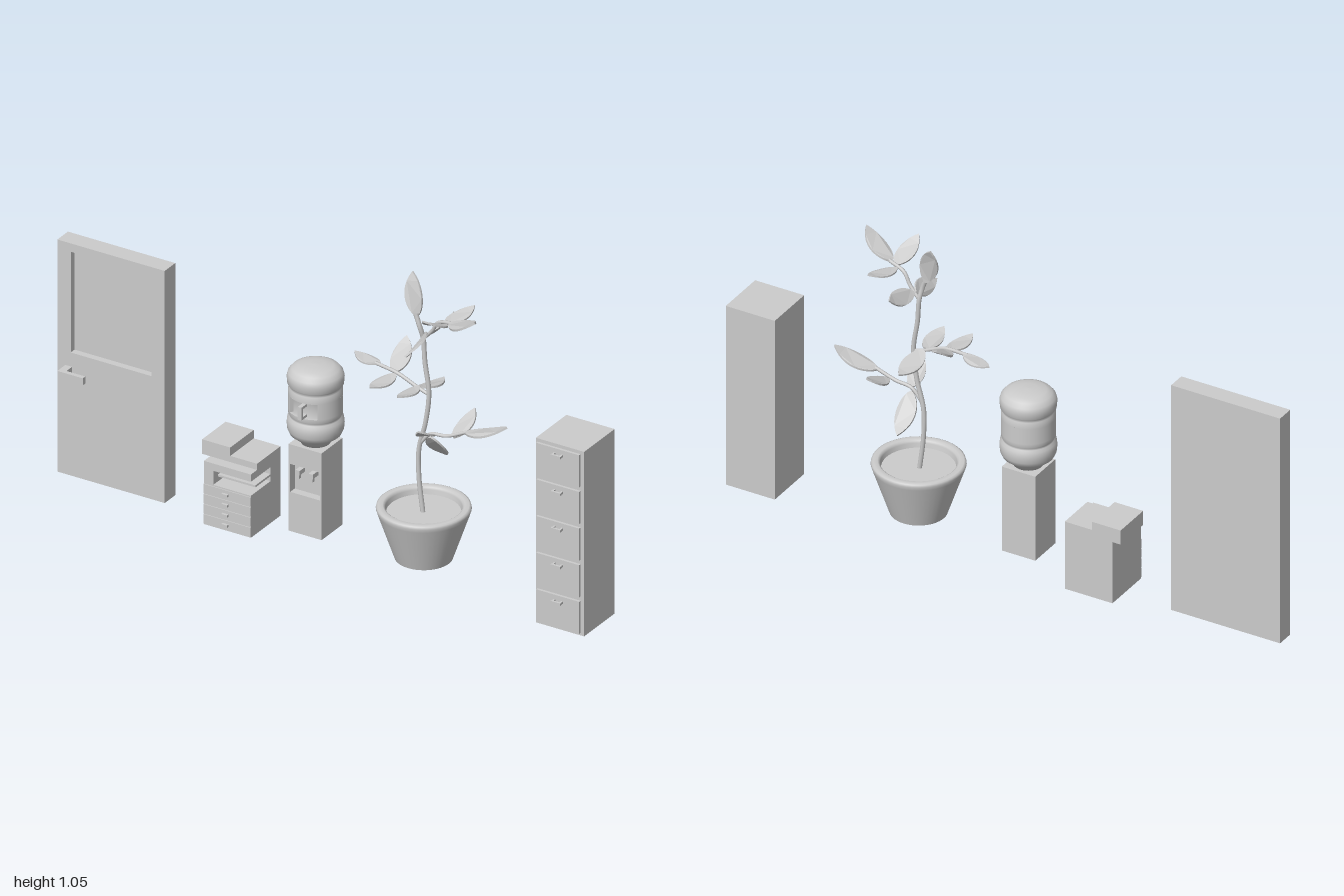
import * as THREE from 'three';

const grey = new THREE.MeshStandardMaterial({ color: 0xcccccc });
const greyDouble = new THREE.MeshStandardMaterial({ color: 0xcccccc, side: THREE.DoubleSide });
const V = (x, y, z) => new THREE.Vector3(x, y, z);

function add(parent, name, geometry, material = grey) {
  const mesh = new THREE.Mesh(geometry, material);
  mesh.name = name;
  parent.add(mesh);
  return mesh;
}

function group(parent, name) {
  const g = new THREE.Group();
  g.name = name;
  parent.add(g);
  return g;
}

// Box given by its limits
function box(parent, name, x0, x1, y0, y1, z0, z1) {
  const m = add(parent, name, new THREE.BoxGeometry(x1 - x0, y1 - y0, z1 - z0));
  m.position.set((x0 + x1) / 2, (y0 + y1) / 2, (z0 + z1) / 2);
  return m;
}

function rect(path, x0, x1, y0, y1) {
  path.moveTo(x0, y0);
  path.lineTo(x1, y0);
  path.lineTo(x1, y1);
  path.lineTo(x0, y1);
  path.closePath();
  return path;
}

// Block whose front has a rectangular recess down to depth zr
function recessedBlock(parent, name, [x0, x1, y0, y1, z0, z1], hole, zr) {
  const shape = rect(new THREE.Shape(), x0, x1, y0, y1);
  shape.holes.push(rect(new THREE.Path(), ...hole));
  const frame = new THREE.ExtrudeGeometry(shape, { depth: z1 - zr, bevelEnabled: false });
  add(parent, name + 'Frame', frame.translate(0, 0, zr));
  box(parent, name + 'Back', x0, x1, y0, y1, z0, zr);
}

function lathe(parent, name, points, start = 0, sweep = Math.PI * 2) {
  const pts = points.map(p => new THREE.Vector2(...p));
  return add(parent, name, new THREE.LatheGeometry(pts, 48, start, sweep), greyDouble);
}

function tube(parent, name, points, radius) {
  const curve = new THREE.CatmullRomCurve3(points.map(p => V(...p)));
  add(parent, name, new THREE.TubeGeometry(curve, points.length * 6, radius, 8));
}

function buildDoor(root) {
  const g = group(root, 'door');
  recessedBlock(g, 'door', [-1, -0.6, 0, 0.83, -0.03, 0.033], [-0.95, -0.65, 0.44, 0.8], 0.01);
  box(g, 'handlePost', -0.97, -0.945, 0.365, 0.39, 0.03, 0.066);
  box(g, 'handleLever', -0.97, -0.875, 0.365, 0.39, 0.066, 0.081);
}

function buildCopier(root) {
  const g = group(root, 'copier');
  const [l, r, zb, zf] = [-0.42, -0.245, -0.09, 0.087];
  box(g, 'drawerBase', l, r, 0, 0.15, zb, zf);
  box(g, 'outputBack', l, r, 0.15, 0.2, zb, -0.03);
  box(g, 'outputSide', l, -0.385, 0.15, 0.2, -0.03, zf);
  box(g, 'outputTray', -0.385, r, 0.168, 0.175, -0.03, 0.06);
  box(g, 'scanner', l, r, 0.2, 0.226, zb, zf);
  box(g, 'lid', -0.45, r, 0.226, 0.248, zb, 0.05);
  box(g, 'paperFeeder', -0.45, -0.345, 0.248, 0.278, zb, 0.05);
  for (let i = 0; i < 4; i++) {
    const y = 0.004 + i * 0.036;
    box(g, 'copierDrawer', l, r, y, y + 0.033, zf, zf + 0.003);
    box(g, 'copierDrawerHandle', -0.348, -0.326, y + 0.014, y + 0.022, zf, 0.099);
  }
}

function buildCooler(root) {
  const g = group(root, 'waterCooler');
  const cx = -0.058;
  recessedBlock(g, 'column', [-0.12, 0.003, 0.05, 0.36, -0.062, 0.062], [-0.114, -0.003, 0.19, 0.29], 0.035);
  for (const x of [-0.083, -0.034]) {
    box(g, 'tapBody', x - 0.008, x + 0.008, 0.262, 0.278, 0.035, 0.068);
    box(g, 'tapSpout', x - 0.005, x + 0.005, 0.248, 0.264, 0.054, 0.066);
  }

  // Bottle with two ribs, and a shallow grip recess at the front
  const b = group(g, 'bottle');
  b.position.x = cx;
  const [lo, hi, r, rIn] = [0.48, 0.535, 0.087, 0.075];
  lathe(b, 'bottleBottom', [[0, 0.36], [0.048, 0.36], [0.05, 0.372], [0.068, 0.382], [0.083, 0.394], [0.09, 0.41],
    [0.092, 0.43], [0.09, 0.448], [0.083, 0.455], [0.083, 0.462], [r, 0.467], [r, lo]]);
  lathe(b, 'bottleTop', [[r, hi], [r, 0.552], [0.083, 0.557], [0.083, 0.566], [0.09, 0.572], [0.092, 0.595],
    [0.088, 0.61], [0.076, 0.624], [0.058, 0.632], [0.03, 0.636], [0, 0.637]]);
  const half = 0.63;
  lathe(b, 'bottleMiddle', [[r, lo], [r, hi]], half, Math.PI * 2 - half * 2);
  lathe(b, 'gripRecess', [[r, lo], [rIn, lo], [rIn, hi], [r, hi]], -half, half * 2);
  for (const a of [-half, half]) {
    const wall = add(b, 'gripRecessWall', new THREE.PlaneGeometry(r - rIn, hi - lo), greyDouble);
    const m = (r + rIn) / 2;
    wall.position.set(Math.sin(a) * m, (lo + hi) / 2, Math.cos(a) * m);
    wall.rotation.y = a - Math.PI / 2;
  }
  box(b, 'gripBar', 0, 0.014, 0.484, 0.53, 0.097, 0.107);
  for (const y of [0.484, 0.521]) box(b, 'gripEnd', 0, 0.014, y, y + 0.009, 0.07, 0.098);
}

// Thin pointed leaf of unit length along +y, slightly arched
function leafGeometry() {
  const s = new THREE.Shape();
  s.moveTo(0, 0);
  s.bezierCurveTo(0.22, 0.12, 0.36, 0.62, 0, 1);
  s.bezierCurveTo(-0.36, 0.62, -0.22, 0.12, 0, 0);
  const geo = new THREE.ExtrudeGeometry(s, { depth: 0.045, bevelEnabled: false, curveSegments: 12 });
  const p = geo.attributes.position;
  for (let i = 0; i < p.count; i++) {
    p.setZ(i, p.getZ(i) - 0.0225 + 0.06 * Math.sin(Math.PI * p.getY(i)));
  }
  geo.computeVertexNormals();
  return geo;
}

function buildPlant(root) {
  const g = group(root, 'pottedPlant');
  const cx = 0.345;
  const pot = lathe(g, 'pot', [[0, 0.06], [0.093, 0.06], [0.093, 0.06], [0.148, 0.222], [0.152, 0.235], [0.15, 0.243], [0.144, 0.246],
    [0.13, 0.246], [0.124, 0.242], [0.122, 0.235], [0.118, 0.215]]);
  pot.position.x = cx;
  const soil = add(g, 'soil', new THREE.CylinderGeometry(0.12, 0.12, 0.01, 48));
  soil.position.set(cx, 0.215, 0);

  tube(g, 'stem', [[0.342, 0.215, 0], [0.327, 0.34, 0], [0.327, 0.44, 0], [0.352, 0.545, 0], [0.364, 0.65, 0],
    [0.349, 0.76, 0], [0.343, 0.84, 0], [0.336, 0.88, 0.008], [0.32, 0.925, 0.008]], 0.008);
  tube(g, 'upperBranch', [[0.343, 0.84, 0], [0.38, 0.88, 0.005], [0.405, 0.918, 0.01], [0.465, 0.937, 0.02]], 0.006);
  tube(g, 'leftBranch', [[0.363, 0.645, 0], [0.32, 0.66, 0], [0.25, 0.688, 0], [0.16, 0.696, -0.01]], 0.006);
  tube(g, 'rightBranch', [[0.33, 0.46, 0], [0.37, 0.505, 0], [0.43, 0.515, 0], [0.5, 0.545, -0.008]], 0.006);

  // Each leaf: base, tip, direction of its width
  const leaves = [
    [[0.32, 0.91, 0], [0.285, 1.05, -0.03], [1, 0.2, 0]],
    [[0.445, 0.925, 0.02], [0.425, 0.985, 0.137], [1, 0.1, 0]],
    [[0.455, 0.935, 0.02], [0.585, 0.997, 0.08], [0, 0, -1]],
    [[0.43, 0.925, 0.01], [0.47, 0.945, -0.105], [-1, 0, 0]],
    [[0.355, 0.865, 0], [0.36, 0.84, 0.137], [0.65, 0.75, 0]],
    [[0.36, 0.86, 0], [0.38, 0.888, -0.125], [-0.65, -0.75, 0]],
    [[0.175, 0.697, -0.01], [0.062, 0.697, -0.04], [0, 0, 1]],
    [[0.235, 0.685, 0], [0.205, 0.755, -0.125], [-1, 0, 0]],
    [[0.24, 0.685, 0], [0.22, 0.685, 0.125], [1, 0, 0]],
    [[0.325, 0.66, 0], [0.335, 0.635, -0.14], [-1, -0.2, 0]],
    [[0.325, 0.665, 0], [0.325, 0.68, 0.125], [1, 0.2, 0]],
    [[0.49, 0.54, -0.01], [0.64, 0.592, -0.025], [0, 0, -1]],
    [[0.455, 0.515, 0], [0.462, 0.57, -0.12], [-1, -0.2, 0]],
    [[0.375, 0.505, 0], [0.39, 0.565, 0.105], [1, 0.3, 0]],
    [[0.37, 0.495, 0], [0.362, 0.385, -0.105], [-1, 0, 0]],
  ];
  const geo = leafGeometry();
  for (const [base, tip, width] of leaves) {
    const along = V(...tip).sub(V(...base));
    const length = along.length();
    along.normalize();
    const normal = V(...width).cross(along).normalize();
    const side = along.clone().cross(normal);
    const leaf = add(g, 'leaf', geo, greyDouble);
    leaf.quaternion.setFromRotationMatrix(new THREE.Matrix4().makeBasis(side, along, normal));
    leaf.position.set(...base);
    leaf.scale.setScalar(length);
  }
}

function buildCabinet(root) {
  const g = group(root, 'filingCabinet');
  box(g, 'cabinetBody', 0.82, 1, 0, 0.66, -0.09, 0.092);
  for (let i = 0; i < 5; i++) {
    const y = 0.009 + i * 0.131;
    box(g, 'drawerFront', 0.827, 0.987, y, y + 0.115, 0.092, 0.101);
    for (const x of [0.893, 0.921]) box(g, 'drawerHandlePost', x, x + 0.006, y + 0.092, y + 0.1, 0.1, 0.113);
    box(g, 'drawerHandle', 0.892, 0.928, y + 0.092, y + 0.1, 0.112, 0.119);
  }
}

export function createModel() {
  const root = new THREE.Group();
  root.name = 'officeFurniture';
  buildDoor(root);
  buildCopier(root);
  buildCooler(root);
  buildPlant(root);
  buildCabinet(root);
  return root;
}
